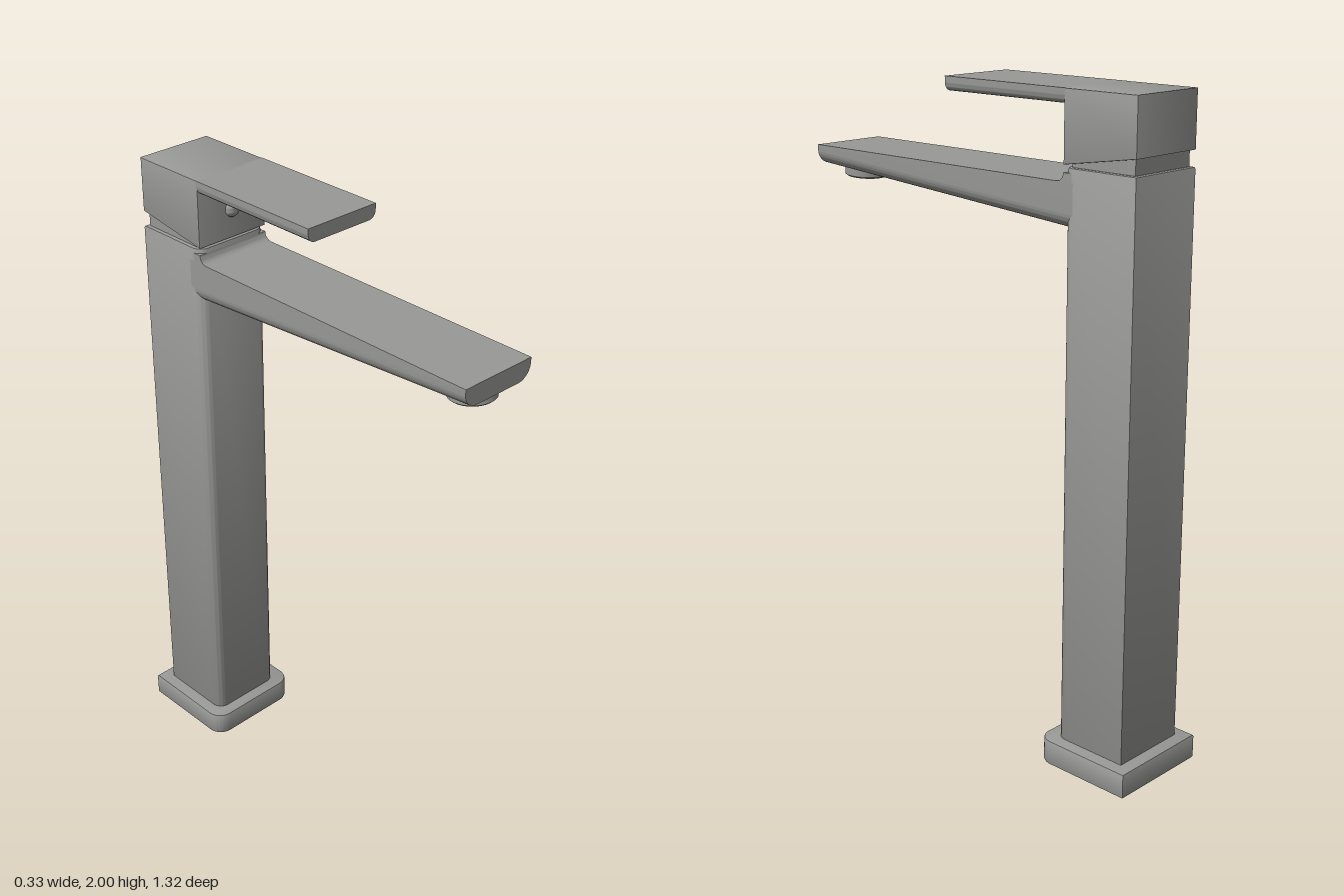
import * as THREE from 'three';
import { toCreasedNormals } from 'three/addons/utils/BufferGeometryUtils.js';

const metal = new THREE.MeshStandardMaterial({ color: 0x989896 });
metal.name = 'brushed metal';

const W = 0.126;            // half width of body, spout and handle
const BACK = -0.617, FRONT = -0.365;

// Rectangle whose two lower corners are rounded
function roundedBottom(hw, y0, y1, r) {
  const s = new THREE.Shape();
  s.moveTo(-hw, y1);
  s.lineTo(-hw, y0 + r);
  s.absarc(-hw + r, y0 + r, r, Math.PI, Math.PI * 1.5, false);
  s.lineTo(hw - r, y0);
  s.absarc(hw - r, y0 + r, r, Math.PI * 1.5, Math.PI * 2, false);
  s.lineTo(hw, y1);
  s.closePath();
  return s;
}

// Extrusion of exact depth with an optional small edge bevel
function extrude(shape, depth, bevel = 0) {
  const g = new THREE.ExtrudeGeometry(shape, {
    depth: depth - 2 * bevel, curveSegments: 8, bevelEnabled: bevel > 0,
    bevelThickness: bevel, bevelSize: bevel, bevelOffset: -bevel, bevelSegments: 2,
  });
  return g.translate(0, 0, bevel);
}

// Upright block with rounded front corners
function upright(hw, zBack, zFront, r, y0, y1, bevel) {
  return extrude(roundedBottom(hw, -zFront, -zBack, r), y1 - y0, bevel)
    .rotateX(-Math.PI / 2).translate(0, y0, 0);
}

// Side profile of [z, y] points, extruded across the width
function sideProfile(points, hw, bevel = 0) {
  const s = new THREE.Shape(points.map(([z, y]) => new THREE.Vector2(-z, y)));
  return extrude(s, 2 * hw, bevel).rotateY(Math.PI / 2).translate(-hw, 0, 0);
}

export function createModel() {
  const model = new THREE.Group();
  model.name = 'tallBasinTap';
  const add = (name, geometry, parent = model) => {
    const mesh = new THREE.Mesh(toCreasedNormals(geometry, 0.6), metal);
    mesh.name = name;
    parent.add(mesh);
    return mesh;
  };

  // Foot and column
  add('base', upright(0.166, -0.658, -0.325, 0.05, 0, 0.078, 0.006));
  add('column', upright(W, BACK, FRONT, 0.035, 0.07, 1.79, 0.006));

  // Spout: bottom drops steadily towards the column
  const z0 = -0.41, z1 = 0.658, slope = 0.068;
  const spout = extrude(roundedBottom(W, 1.69, 1.75, 0.045), z1 - z0).translate(0, 0, z0);
  const p = spout.attributes.position;
  for (let i = 0; i < p.count; i++) {
    if (p.getY(i) < 1.745) p.setY(i, p.getY(i) - slope * (z1 - p.getZ(i)));
  }
  add('spout', spout);

  // Small concave fillet between spout and column
  const fillet = [[FRONT - 0.03, 1.745], [FRONT - 0.03, 1.775]];
  for (let i = 0; i <= 5; i++) {
    const a = (i / 5) * Math.PI / 2;
    fillet.push([FRONT + 0.025 * (1 - Math.cos(a)), 1.775 - 0.025 * Math.sin(a)]);
  }
  fillet.push([FRONT + 0.025, 1.745]);
  add('spoutFillet', sideProfile(fillet, W));

  // Hollow outlet, square to the sloping underside
  const ring = [[0, -0.008], [0.047, -0.008], [0.047, -0.034], [0.062, -0.034],
    [0.068, -0.029], [0.068, 0.012]].map(([x, y]) => new THREE.Vector2(x, y));
  const outlet = add('outlet', new THREE.LatheGeometry(ring, 40));
  outlet.position.set(0, 1.684, 0.572);
  outlet.rotation.x = -slope;

  // Recessed neck under the handle
  add('neck', upright(W - 0.012, BACK + 0.012, FRONT - 0.012, 0.02, 1.78, 1.85, 0));

  // Handle: wedge-bottomed block, flat lever and round screw cap
  const handle = new THREE.Group();
  handle.name = 'handle';
  model.add(handle);
  add('handleBlock', sideProfile(
    [[BACK, 2], [BACK, 1.836], [FRONT, 1.796], [FRONT, 2]], W, 0.003), handle);
  add('lever', extrude(roundedBottom(W, 1.957, 2, 0.025), 0.46).translate(0, 0, -0.372), handle);
  const cap = add('screwCap', new THREE.SphereGeometry(0.025, 20, 14), handle);
  cap.position.set(0, 1.884, FRONT + 0.002);
  cap.scale.z = 0.7;

  return model;
}
